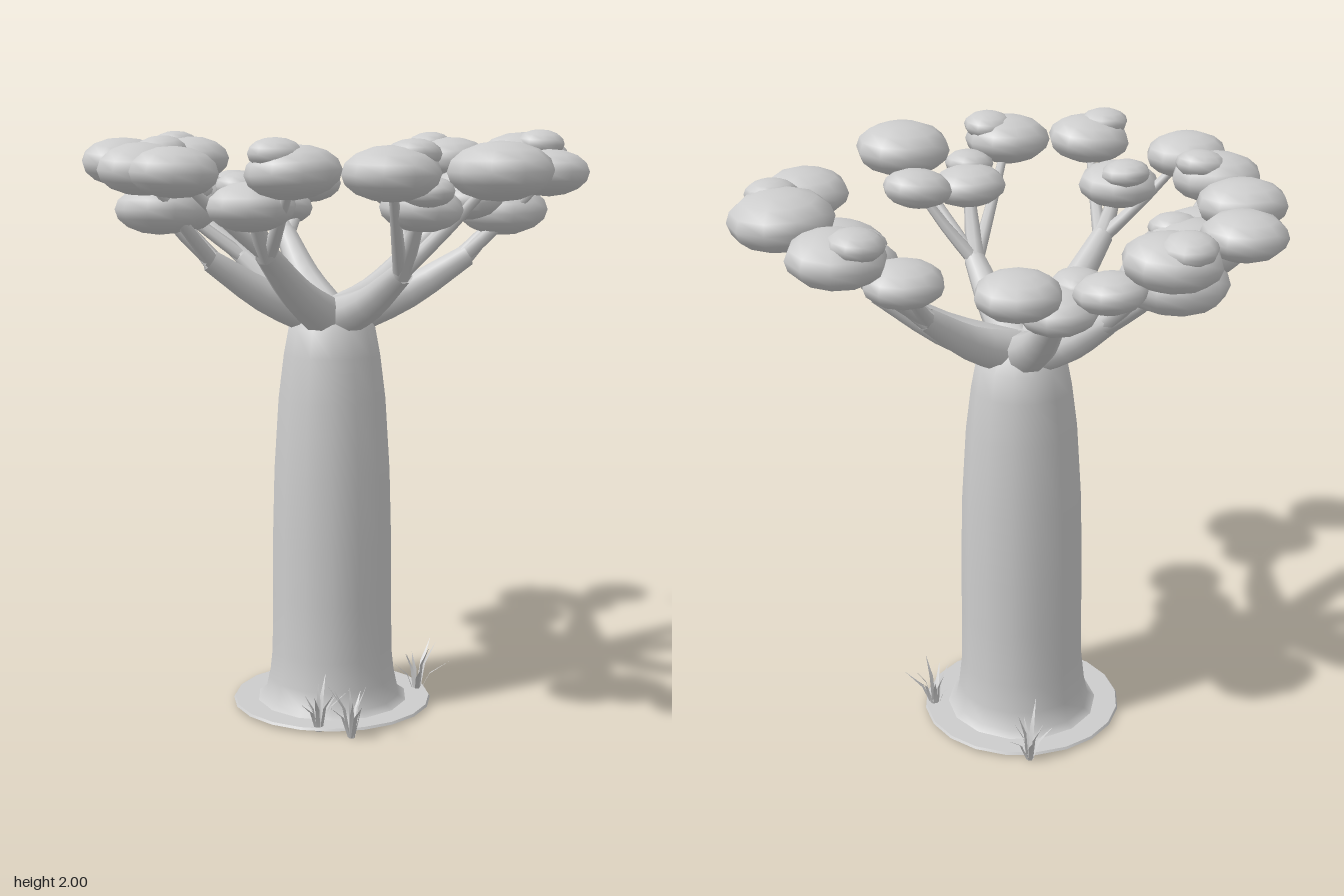
import * as THREE from 'three';

const V = (x, y, z) => new THREE.Vector3(x, y, z);
const CX = -0.005, CZ = -0.065; // trunk axis

// small seeded generator
function makeRandom(seed) {
  return () => {
    seed = (seed * 16807) % 2147483647;
    return seed / 2147483647;
  };
}

// tube along a curve whose radius shrinks from r0 to r1
function taperedTube(points, r0, r1, segments, sides) {
  const curve = new THREE.CatmullRomCurve3(points);
  const geo = new THREE.TubeGeometry(curve, segments, 1, sides, false);
  const pos = geo.attributes.position;
  for (let i = 0; i <= segments; i++) {
    const t = i / segments;
    const c = curve.getPointAt(t);
    for (let j = 0; j <= sides; j++) {
      const k = i * (sides + 1) + j;
      const p = V(0, 0, 0).fromBufferAttribute(pos, k).sub(c).multiplyScalar(r0 + (r1 - r0) * t).add(c);
      pos.setXYZ(k, p.x, p.y, p.z);
    }
  }
  return geo;
}

// bent, pointed grass blade
function bladeGeometry(angle, reach, height) {
  const c = Math.cos(angle), s = Math.sin(angle), w = 0.007;
  const at = (d, y, side) => [c * d - s * side, y, s * d + c * side];
  const geo = new THREE.BufferGeometry();
  geo.setAttribute('position', new THREE.Float32BufferAttribute([
    ...at(0.01, 0, -w), ...at(0.01, 0, w),
    ...at(reach * 0.4, height * 0.6, -w), ...at(reach * 0.4, height * 0.6, w),
    ...at(reach, height, 0)], 3));
  geo.setIndex([0, 1, 2, 1, 3, 2, 2, 3, 4]);
  geo.computeVertexNormals();
  return geo;
}

// leaf pads of each limb as x, y, z, radius and, where a small pad sits on top, its x, z
const backPads = [[-0.20, 1.72, -0.58, 0.125, -0.25, -0.51], [-0.10, 1.80, -0.70, 0.13],
  [-0.355, 1.79, -0.61, 0.11]];
const backLeftPads = [[0.46, 1.76, -0.37, 0.13], [0.49, 1.79, -0.48, 0.13],
  [0.68, 1.90, -0.42, 0.165, 0.73, -0.34], [0.43, 1.885, -0.71, 0.15, 0.36, -0.745],
  [0.26, 1.78, -0.60, 0.125]];
const leftPads = [[0.58, 1.735, -0.16, 0.155, 0.47, -0.29], [0.72, 1.865, -0.01, 0.14]];
const frontLeftPads = [[0.27, 1.775, 0.46, 0.13, 0.285, 0.55], [0.42, 1.80, 0.31, 0.12],
  [0.51, 1.89, 0.49, 0.165], [0.17, 1.89, 0.68, 0.15, 0.235, 0.65]];
const frontRightPads = [[-0.25, 1.785, 0.53, 0.14, -0.28, 0.47], [-0.12, 1.895, 0.71, 0.145, -0.17, 0.74],
  [-0.48, 1.89, 0.57, 0.14]];
const rightPads = [[-0.55, 1.755, -0.06, 0.17, -0.49, -0.02], [-0.57, 1.75, 0.12, 0.145],
  [-0.70, 1.90, -0.03, 0.145], [-0.60, 1.89, 0.30, 0.15, -0.55, 0.25]];
const backRightPads = [[-0.52, 1.76, -0.39, 0.17], [-0.72, 1.88, -0.29, 0.135],
  [-0.53, 1.89, -0.60, 0.15, -0.58, -0.645]];

export function createModel() {
  const tree = new THREE.Group();
  tree.name = 'tree';
  const grey = new THREE.MeshStandardMaterial({ color: 0xcccccc, side: THREE.DoubleSide });
  grey.name = 'pale grey';
  const random = makeRandom(77);

  function add(parent, name, geo) {
    const mesh = new THREE.Mesh(geo, grey);
    mesh.name = name;
    parent.add(mesh);
    return mesh;
  }

  // flattened ball with a coarse outline
  function addPad(parent, name, centre, r) {
    const pad = add(parent, name, new THREE.SphereGeometry(r, 10, 8));
    pad.position.copy(centre);
    pad.scale.set(1.01, 0.56, 1.01);
    pad.rotation.set((random() - 0.5) * 0.15, random() * 6.28, (random() - 0.5) * 0.15);
  }

  // branch from the crown, twigs from its tip, a pad on each twig
  function addLimb(name, endX, endY, endZ, pads) {
    const limb = new THREE.Group();
    limb.name = name;
    tree.add(limb);
    const tip = V(endX, endY, endZ);
    const root = V(CX, 1.375, CZ).lerp(V(endX, 1.375, endZ), 0.08);
    const mid = root.clone().lerp(tip, 0.5).add(V(0, -0.025, 0));
    const fork = mid.clone().lerp(tip, 0.94);
    add(limb, 'branch', taperedTube([root, mid, tip], 0.076, 0.038, 6, 9));
    pads.forEach(([x, y, z, r, topX, topZ], i) => {
      const centre = V(x, y, z);
      const bend = fork.clone().lerp(centre, 0.5).add(V(0, -0.01, 0));
      const thick = i === 0 ? 0.036 : 0.026; // first twig carries the limb on
      add(limb, 'twig', taperedTube([fork, bend, centre], thick, thick * 0.5, 4, 7));
      addPad(limb, 'leafPad', centre, r);
      if (topX !== undefined) addPad(limb, 'smallLeafPad', V(topX, y + 0.055, topZ), 0.085);
    });
  }

  // thin ground disc under the trunk
  add(tree, 'groundDisc', new THREE.CylinderGeometry(0.345, 0.35, 0.008, 20))
    .position.set(CX, 0.014, CZ);

  // swollen trunk with a flared foot and rounded crown
  const profile = [[0.27, 0.015], [0.24, 0.035], [0.226, 0.1], [0.215, 0.2], [0.212, 0.4],
    [0.211, 0.6], [0.204, 0.85], [0.188, 1.1], [0.169, 1.25], [0.152, 1.34], [0.1, 1.42], [0.06, 1.435], [0, 1.44]];
  add(tree, 'trunk', new THREE.LatheGeometry(profile.map(([r, y]) => new THREE.Vector2(r, y)), 14))
    .position.set(CX, 0, CZ);

  addLimb('backLimb', -0.17, 1.63, -0.46, backPads);
  addLimb('backLeftLimb', 0.26, 1.56, -0.31, backLeftPads);
  addLimb('leftLimb', 0.46, 1.58, -0.14, leftPads);
  addLimb('frontLeftLimb', 0.22, 1.56, 0.30, frontLeftPads);
  addLimb('frontRightLimb', -0.21, 1.63, 0.42, frontRightPads);
  addLimb('rightLimb', -0.41, 1.58, 0.07, rightPads);
  addLimb('backRightLimb', -0.31, 1.56, -0.25, backRightPads);

  // grass tufts around the foot
  for (const [x, z] of [[-0.05, 0.25], [0.06, 0.31], [-0.09, -0.41], [0.3, -0.14]]) {
    const tuft = new THREE.Group();
    tuft.name = 'grassTuft';
    tuft.position.set(x, 0, z);
    for (let i = 0; i < 9; i++) {
      const angle = i * 0.7 + random() * 0.5;
      add(tuft, 'grassBlade', bladeGeometry(angle, 0.04 + random() * 0.08, 0.1 + random() * 0.085));
    }
    tree.add(tuft);
  }

  return tree;
}
